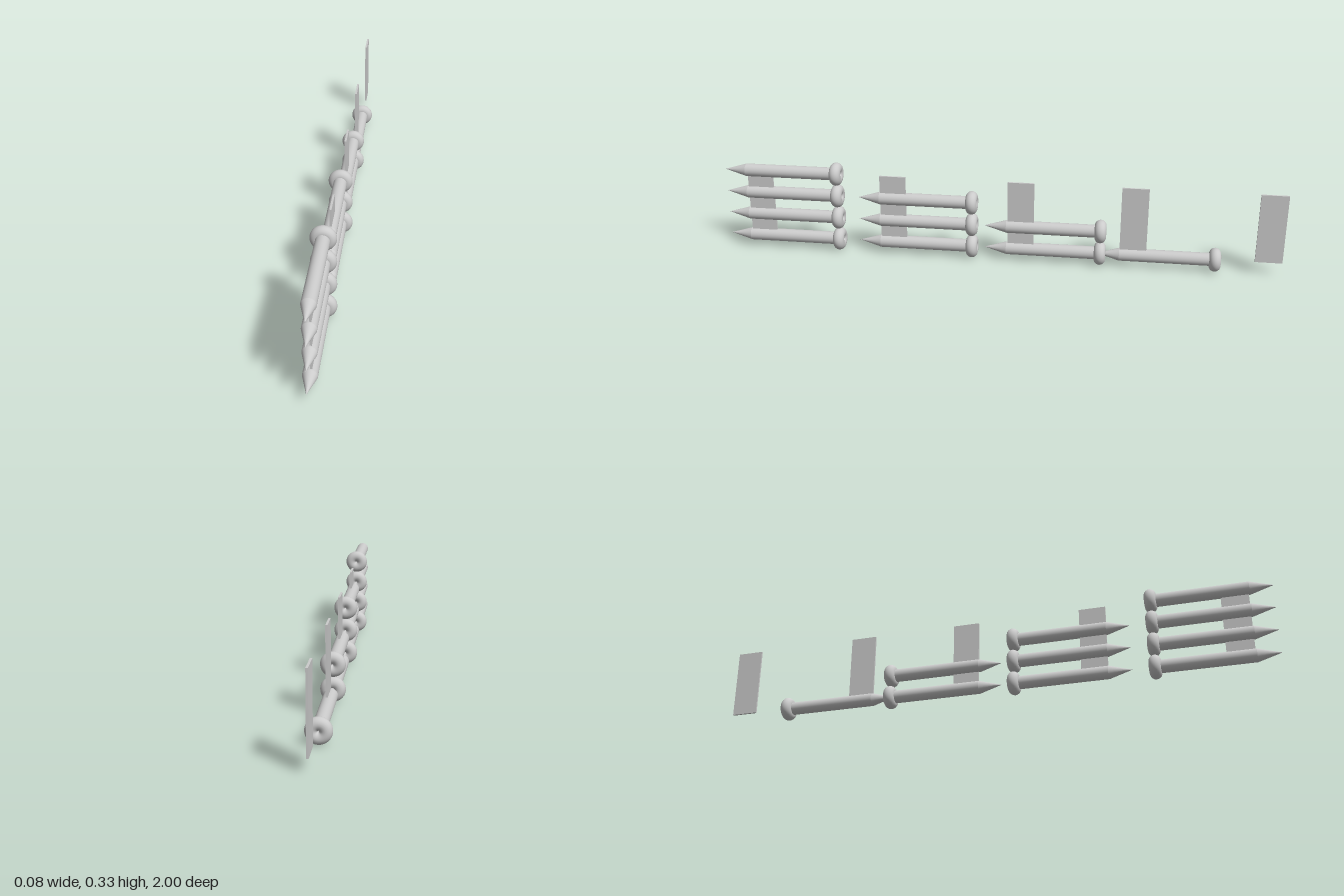
import * as THREE from 'three';

const material = new THREE.MeshStandardMaterial({ color: 0xcccccc });

const HEAD_RING = 0.0215, HEAD_TUBE = 0.0205; // together: head radius 0.042
const SHAFT_R = 0.023, TIP_LENGTH = 0.08, LENGTH = 0.435;

// One nail along z, with its point at z = 0 and its head at the back
function createNail() {
  const nail = new THREE.Group();
  const add = (name, geometry, z) => {
    const mesh = new THREE.Mesh(geometry, material);
    mesh.name = name;
    mesh.position.z = z;
    nail.add(mesh);
  };
  const headZ = -LENGTH + HEAD_TUBE;
  const shaftLength = -TIP_LENGTH - headZ;

  add('point', new THREE.ConeGeometry(SHAFT_R, TIP_LENGTH, 32, 1, true).rotateX(Math.PI / 2), -TIP_LENGTH / 2);
  add('shaft', new THREE.CylinderGeometry(SHAFT_R, SHAFT_R, shaftLength, 32).rotateX(Math.PI / 2),
    headZ + shaftLength / 2);
  // Rounded head with a dimple in the middle
  add('head', new THREE.TorusGeometry(HEAD_RING, HEAD_TUBE, 20, 40), headZ);
  return nail;
}

export function createModel() {
  const model = new THREE.Group();
  model.name = 'nailStrips';

  // Stacks of four, three, two and one nails
  const tips = [1.0, 0.508, 0.048, -0.355];
  tips.forEach((tip, i) => {
    const stack = new THREE.Group();
    stack.name = `nailStack${i + 1}`;
    for (let row = 0; row < 4 - i; row++) {
      const nail = createNail();
      nail.name = `nail${row + 1}`;
      nail.position.set(0, 0.0425 + row * 0.0835, tip);
      stack.add(nail);
    }
    model.add(stack);
  });

  // Thin upright strips that hold the stacks, the last one empty
  const stripGeometry = new THREE.BoxGeometry(0.007, 0.25, 0.094);
  [0.869, 0.379, -0.083, -0.483, -0.953].forEach((z, i) => {
    const strip = new THREE.Mesh(stripGeometry, material);
    strip.name = `strip${i + 1}`;
    strip.position.set(0.003, 0.17, z);
    model.add(strip);
  });

  return model;
}
